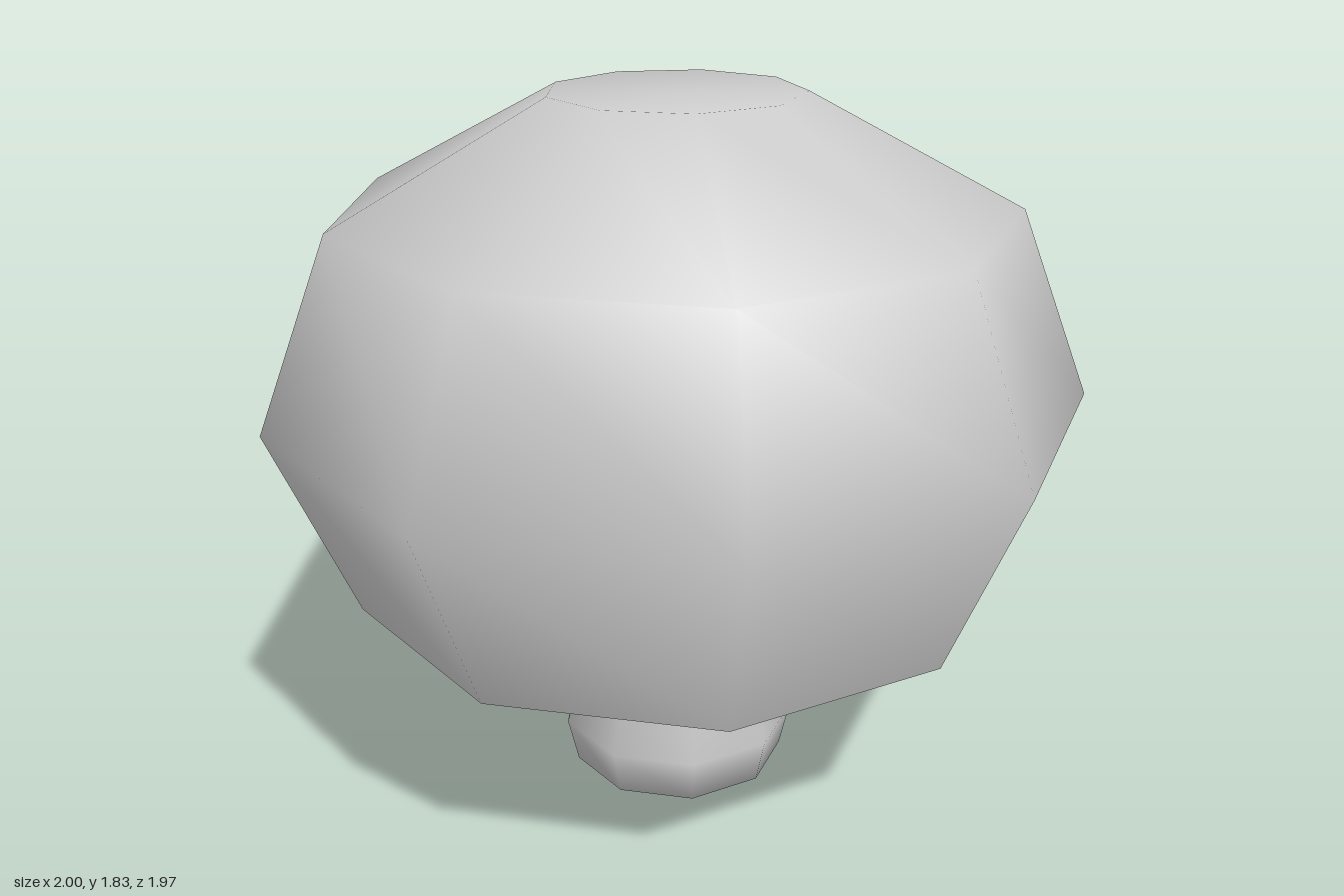
import * as THREE from 'three';

const SIDES = 9;
const material = new THREE.MeshStandardMaterial({ color: 0xcccccc });

// Nine-sided turned part from [radius, height] points, listed bottom to top
function turned(name, profile) {
  const points = profile.map(([r, y]) => new THREE.Vector2(r, y));
  const mesh = new THREE.Mesh(new THREE.LatheGeometry(points, SIDES), material);
  mesh.name = name;
  return mesh;
}

export function createModel() {
  const mushroom = new THREE.Group();
  mushroom.name = 'mushroom';

  // Rounded dome with a small flat crown
  const capTop = turned('capTop', [
    [0.817, 0.605], [1.015, 1.09], [0.83, 1.555], [0.31, 1.83], [0, 1.83],
  ]);

  // Flat underside, kept separate for a sharp rim
  const capUnderside = turned('capUnderside', [[0, 0.605], [0.817, 0.605]]);

  // Stem with a bulbous foot
  const stem = turned('stem', [
    [0, 0], [0.163, 0], [0.28, 0.06], [0.307, 0.18], [0.25, 0.39], [0.223, 0.605],
  ]);

  mushroom.add(capTop, capUnderside, stem);
  // An odd number of sides reaches further forward than back, so recentre
  for (const part of mushroom.children) part.position.z = -0.033;
  return mushroom;
}
